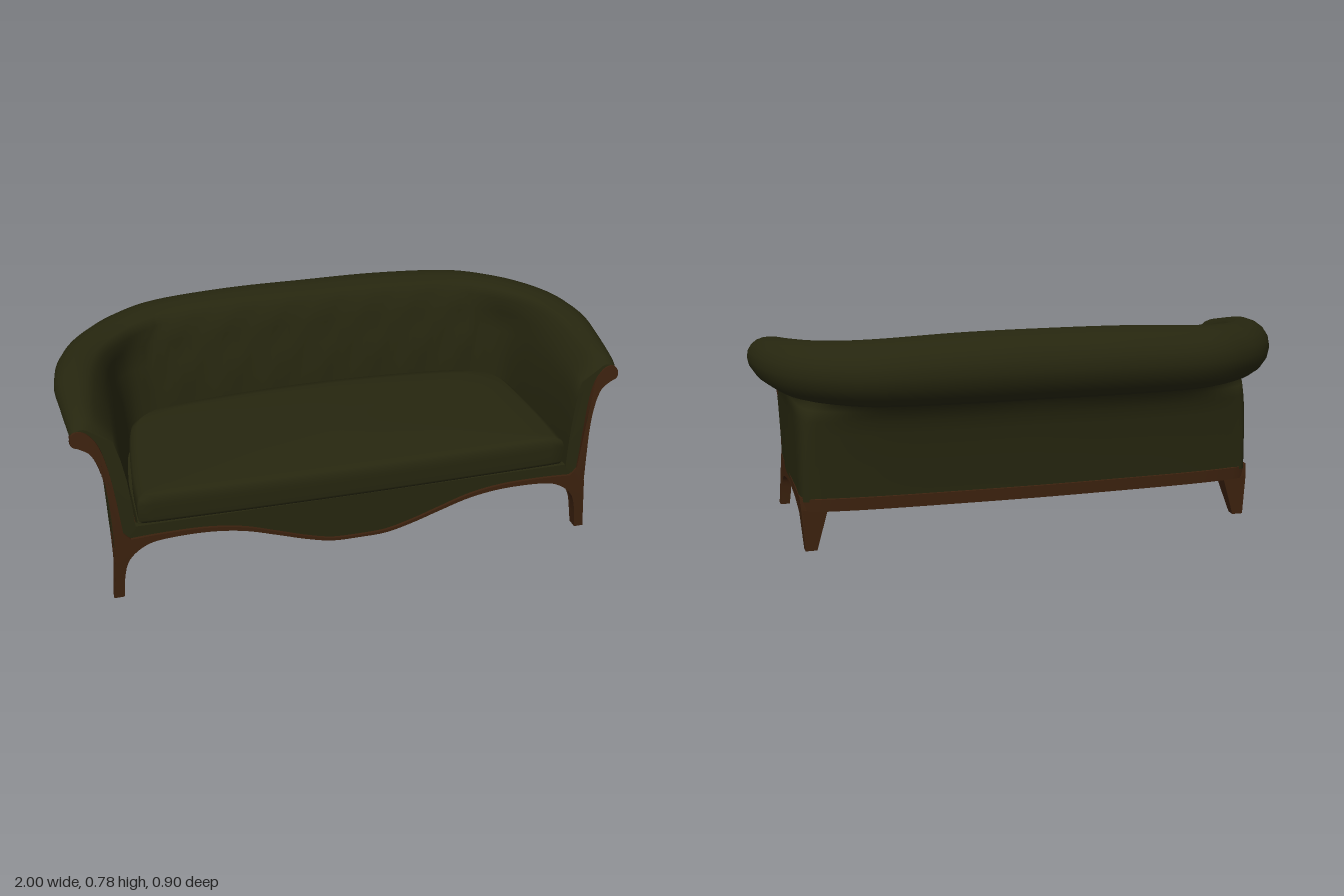
import * as THREE from 'three';
import { toCreasedNormals } from 'three/addons/utils/BufferGeometryUtils.js';

const V3 = (x, y, z) => new THREE.Vector3(x, y, z);
const lerp = THREE.MathUtils.lerp;

// Surface through a grid of points; rows all have the same length.
function loft(rows, closeRows = false) {
  const n = rows[0].length, index = [];
  const last = closeRows ? n : n - 1;
  for (let i = 0; i < rows.length - 1; i++)
    for (let j = 0; j < last; j++) {
      const a = i * n + j, b = i * n + (j + 1) % n, c = a + n, d = b + n;
      index.push(a, b, c, b, d, c);
    }
  const g = new THREE.BufferGeometry().setFromPoints(rows.flat());
  g.setIndex(index);
  g.computeVertexNormals();
  return g;
}

// Move every vertex of a geometry by a rule.
function warp(g, rule) {
  const p = g.attributes.position;
  for (let i = 0; i < p.count; i++) p.setXYZ(i, ...rule(p.getX(i), p.getY(i), p.getZ(i)));
  g.computeVertexNormals();
  return toCreasedNormals(g, 0.6);
}

const spline = (pts, n) => new THREE.SplineCurve(pts.map(p => new THREE.Vector2(...p))).getPoints(n);
const extrude = (pts, depth) =>
  new THREE.ExtrudeGeometry(new THREE.Shape(pts), { depth, bevelEnabled: false });

// The front edge leans back as it rises.
const frontZ = y => 0.438 - 0.037 * Math.max(0, (y - 0.2) / 0.42) ** 2;

// Stations from arm front to centre back:
// roll outer x, z | outward angle | crest y, roll underside y | seat line x, z | base x, z
const STATIONS = [
  [0.970, 0.395, 0, 0.652, 0.588, 0.79, 0.43, 0.868, 0.43],
  [0.978, 0.350, 0, 0.680, 0.588, 0.79, 0.36, 0.868, 0.36],
  [0.990, 0.230, 0, 0.706, 0.590, 0.785, 0.24, 0.868, 0.24],
  [1.000, 0.080, 5, 0.732, 0.582, 0.775, 0.10, 0.862, 0.10],
  [0.975, -0.080, 18, 0.745, 0.565, 0.76, -0.03, 0.857, -0.04],
  [0.900, -0.230, 38, 0.752, 0.545, 0.735, -0.10, 0.850, -0.17],
  [0.780, -0.345, 55, 0.760, 0.540, 0.68, -0.135, 0.790, -0.195],
  [0.600, -0.430, 76, 0.770, 0.537, 0.55, -0.14, 0.600, -0.215],
  [0.300, -0.455, 87, 0.782, 0.535, 0.30, -0.14, 0.300, -0.225],
  [0.000, -0.455, 90, 0.784, 0.535, 0.00, -0.14, 0.000, -0.230],
];

// Cross-section of the back and arms at one station.
function section([ox, oz, deg, top, under, sx, sz, bx, bz], i) {
  const a = deg * Math.PI / 180, nx = Math.cos(a), nz = -Math.sin(a);
  const ry = (top - under) / 2, rx = ry * 1.12, cy = (top + under) / 2;
  const cx = ox - nx * rx, cz = oz - nz * rx;
  const pts = [];
  const mix = (x, z, k, y) => pts.push(V3(lerp(x, cx, k), y, lerp(z, cz, k)));
  for (const [k, h] of [[0, 0], [0.04, 0.25], [0.1, 0.5], [0.2, 0.72], [0.33, 0.9]])
    mix(sx, sz, k, lerp(0.27, cy + ry * 0.4, h));
  for (let d = 140; d >= -100; d -= 20) {
    const t = d * Math.PI / 180;
    pts.push(V3(cx + nx * rx * Math.cos(t), cy + ry * Math.sin(t), cz + nz * rx * Math.cos(t)));
  }
  for (const [k, y] of [[0.45, under - 0.03], [0.27, under - 0.07], [0.15, under - 0.12], [0.05, 0.3], [0, 0.18]])
    mix(bx, bz, k, y);
  if (i === 0) pts.forEach(p => { p.z = frontZ(p.y); });
  return pts;
}

// Mirror a half row of points to the other side.
const mirrorRow = half => [...half, ...half.slice(0, -1).reverse().map(p => V3(-p.x, p.y, p.z))];

export function createModel() {
  const model = new THREE.Group();
  const material = (name, color) => {
    const m = new THREE.MeshStandardMaterial({ color, side: THREE.DoubleSide });
    m.name = name;
    return m;
  };
  const green = material('olive upholstery', 0x26260f);
  const wood = material('brown wood', 0x3b210e);
  const add = (name, geometry, mat) => {
    const m = new THREE.Mesh(geometry, mat);
    m.name = name;
    model.add(m);
    return m;
  };

  // Back and arms in one sweep, with a softly tufted inner face
  const sections = STATIONS.map(section);
  const columns = sections[0].map((_, j) =>
    new THREE.CatmullRomCurve3(mirrorRow(sections.map(s => s[j]))).getPoints !== undefined
      ? new THREE.CatmullRomCurve3(mirrorRow(sections.map(s => s[j])), false, 'catmullrom', 0.5) : null);
  const N = 108;
  const rows = [];
  for (let i = 0; i <= N; i++)
    rows.push(columns.map((c, j) => {
      const p = c.getPoint(i / N);
      if (j > 1 && j < 5 && Math.abs(p.x) < 0.65) p.z += 0.007 * Math.cos(p.x * 34 + j * Math.PI);
      return p;
    }));
  add('backAndArms', loft(rows), green);

  // Arm fronts
  const end = sections[0];
  const faces = THREE.ShapeUtils.triangulateShape(end.map(p => new THREE.Vector2(p.x, p.y)), []);
  for (const s of [1, -1]) {
    const cap = new THREE.BufferGeometry().setFromPoints(end.map(p => V3(p.x * s, p.y, p.z)));
    cap.setIndex(faces.flat());
    cap.computeVertexNormals();
    add('armFront', cap, green);
  }

  // Seat cushion: rounded plan, rings closing over a crowned top that rises to the back
  const plan = spline([[0.778, 0.435], [0.775, 0.25], [0.755, 0.02], [0.735, -0.07], [0.68, -0.12],
    [0.58, -0.138], [0.3, -0.142], [0, -0.143]], 36);
  const outline = [...plan, ...plan.slice(0, -1).reverse().map(p => new THREE.Vector2(-p.x, p.y))];
  for (let i = 1; i < 30; i++) outline.push(new THREE.Vector2(lerp(-0.778, 0.778, i / 30), 0.437 + 0.01 * Math.sin(Math.PI * i / 30)));
  const rings = [[0, 0.284, 0], [0.985, 0.284, 0], [1, 0.296, 0], [1, 0.355, 0.3], [0.99, 0.378, 0.8],
    [0.96, 0.39, 1], [0.85, 0.397, 1], [0.65, 0.402, 1], [0.4, 0.405, 1], [0, 0.406, 1]];
  add('seatCushion', loft(rings.map(([k, y, rise]) => outline.map(p => {
    const x = p.x * k, z = 0.15 + (p.y - 0.15) * k;
    const crown = 0.055 * (0.44 - z) / 0.58 * (1 - 0.7 * (x / 0.78) ** 2);
    return V3(x, y + rise * crown, z);
  })), true), green);

  // Seat deck under the cushion
  const deck = new THREE.BoxGeometry(1.56, 0.07, 0.55);
  deck.translate(0, 0.243, 0.145);
  add('seatDeck', deck, green);

  // Curved front apron
  const lower = spline([[0, 0.1], [0.1, 0.103], [0.2, 0.128], [0.3, 0.162], [0.42, 0.2],
    [0.55, 0.218], [0.7, 0.215], [0.77, 0.195], [0.82, 0.15], [0.84, 0.09], [0.85, 0]], 50);
  const hem = lower.filter(p => p.x < 0.8).map(p => new THREE.Vector2(p.x, p.y + 0.004));
  const V2 = (x, y) => new THREE.Vector2(x, y);
  const apron = extrude([...hem.slice(1).reverse().map(p => V2(-p.x, p.y)), ...hem,
    V2(0.85, 0.21), V2(0.845, 0.276), V2(-0.845, 0.276), V2(-0.85, 0.21)], 0.024);
  apron.translate(0, 0, 0.409);
  add('frontApron', apron, green);

  // Wooden front frame: leg, arm stile with scroll, and apron moulding
  const stile = spline([[0.885, 0], [0.872, 0.1], [0.868, 0.2], [0.871, 0.38], [0.885, 0.49], [0.91, 0.56],
    [0.945, 0.588], [0.97, 0.6], [0.975, 0.625], [0.955, 0.647], [0.92, 0.637], [0.886, 0.59],
    [0.862, 0.5], [0.846, 0.38], [0.834, 0.26]], 60);
  const upper = spline([[0.81, 0.232], [0.7, 0.237], [0.55, 0.235], [0.42, 0.215], [0.3, 0.175],
    [0.2, 0.14], [0.1, 0.114], [0, 0.11]], 36);
  const framePts = [...stile, ...upper, ...lower];

  // Wooden side rail with arched lower edge
  const arch = spline([[0.405, 0], [0.395, 0.09], [0.375, 0.12], [0.34, 0.135], [0.25, 0.15],
    [0.12, 0.159], [0, 0.15], [-0.06, 0.137], [-0.11, 0.12]], 30);
  const railPts = [V2(0.438, 0), ...arch, V2(-0.155, 0), V2(-0.19, 0), V2(-0.187, 0.145),
    V2(-0.175, 0.197), V2(0.1, 0.197), V2(0.4, 0.2), V2(0.438, 0.2)];
  const railX = (z, y) => {
    const k = 1 - Math.min(y / 0.2, 1);
    return lerp(0.855 - 0.013 * k, 0.87 + 0.015 * k * k, (z + 0.19) / 0.63);
  };

  for (const s of [1, -1]) {
    add('frontFrame', warp(extrude(framePts, 0.034),
      (x, y, z) => [s * x, y, frontZ(y) - 0.029 + z]), wood);
    add('sideRail', warp(extrude(railPts, 0.035),
      (a, y, c) => [s * (railX(a, y) - 0.033 + c), y, a]), wood);
    // Wooden edge along the outside of the arm front
    const edge = stile.slice(8, 33);
    add('stileEdge', loft(edge.map(p => [V3(s * (p.x + 0.002), p.y, frontZ(p.y)),
      V3(s * (p.x + 0.003), p.y, frontZ(p.y) - 0.034)])), wood);
    // Tapered back leg
    add('backLeg', warp(new THREE.BoxGeometry(1, 1, 1), (x, y, z) => y > 0
      ? [s * (x > 0 ? 0.848 : 0.76), 0.15, z > 0 ? -0.11 : -0.188]
      : [s * (x > 0 ? 0.842 : 0.803), 0, z > 0 ? -0.155 : -0.19]), wood);
  }

  // Back rail following the base, with an upholstered lining inside
  const base = new THREE.SplineCurve(mirrorRow(STATIONS.slice(5).map(r => V3(r[7], 0, r[8])))
    .map(p => V2(p.x, p.z))).getPoints(48);
  const strip = profile => loft(base.map(p => profile.map(([o, y]) =>
    V3(p.x * (1 + o), y, p.y - o))));
  add('backRail', toCreasedNormals(strip([[0, 0.192], [0.004, 0.19], [0.004, 0.145], [-0.02, 0.145]]), 0.6), wood);
  add('backRailLining', strip([[-0.02, 0.145], [-0.021, 0.205]]), green);

  // Bottom board
  const board = extrude([V2(0.85, 0.41), V2(-0.85, 0.41), ...[...base].reverse()
    .map(p => V2(p.x * 0.985, p.y + 0.01))], 0.008);
  add('bottomBoard', warp(board, (x, y, z) => [x, 0.2 + z, y]), wood);

  return model;
}
